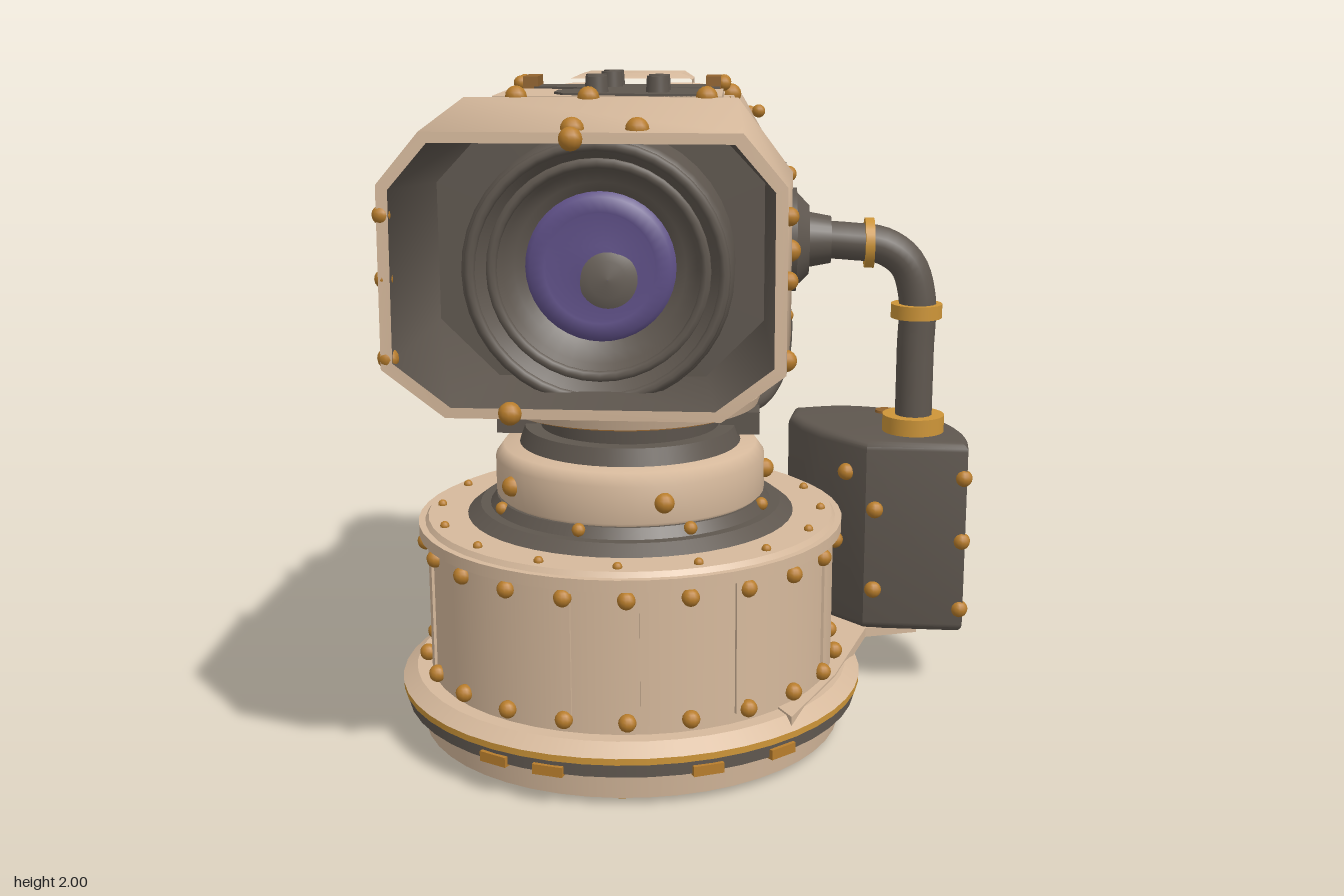
import * as THREE from 'three';
import { toCreasedNormals } from 'three/addons/utils/BufferGeometryUtils.js';

const mat = (name, color) => {
  const m = new THREE.MeshStandardMaterial({ color });
  m.name = name;
  return m;
};

export function createModel() {
  const tan = mat('sandPaint', 0xd6b99c), grey = mat('darkMetal', 0x5f574f), gold = mat('brass', 0xcd9538),
    bronze = mat('boltBronze', 0xb87d2c), brown = mat('rustBrown', 0x93642f), purple = mat('lensPurple', 0x5f5088),
    iris = mat('lensCentre', 0x696159);
  const model = new THREE.Group();
  model.name = 'cameraTurret';
  const CX = -0.18, CZ = -0.03, HX = -0.23; // base axis and head mid-plane

  const add = (name, geo, m, x = 0, y = 0, z = 0, parent = model) => {
    const mesh = new THREE.Mesh(geo, m);
    mesh.name = name;
    mesh.position.set(x, y, z);
    parent.add(mesh);
    return mesh;
  };
  const box = (name, m, x0, x1, y0, y1, z0, z1) =>
    add(name, new THREE.BoxGeometry(x1 - x0, y1 - y0, z1 - z0), m, (x0 + x1) / 2, (y0 + y1) / 2, (z0 + z1) / 2);
  const disc = (name, m, r0, r1, y0, y1, x = CX, z = CZ) =>
    add(name, new THREE.CylinderGeometry(r1, r0, y1 - y0, 48), m, x, (y0 + y1) / 2, z);
  const axleX = (name, m, r0, r1, x0, x1, y, z) =>
    add(name, new THREE.CylinderGeometry(r1, r0, x1 - x0, 28).rotateZ(-Math.PI / 2), m, (x0 + x1) / 2, y, z);
  const tube = (name, m, r, pts) =>
    add(name, new THREE.TubeGeometry(new THREE.CatmullRomCurve3(pts.map(p => new THREE.Vector3(...p)), false, 'centripetal'), 40, r, 14), m);
  const slab = (name, m, pts, y0, y1, bevel = 0) => {
    const shape = new THREE.Shape(pts.map(([x, z]) => new THREE.Vector2(x, -z)));
    const geo = new THREE.ExtrudeGeometry(shape, {
      depth: y1 - y0 - 2 * bevel, bevelEnabled: bevel > 0, bevelSize: bevel, bevelThickness: bevel, bevelOffset: -bevel, bevelSegments: 4
    });
    return add(name, toCreasedNormals(geo.rotateX(-Math.PI / 2), 0.7), m, 0, y0 + bevel, 0);
  };

  // Bolts
  const bolts = new THREE.Group();
  bolts.name = 'bolts';
  model.add(bolts);
  const ball = new THREE.SphereGeometry(1, 12, 8);
  const bolt = (x, y, z, r = 0.026) => add('bolt', ball, bronze, x, y, z, bolts).scale.setScalar(r);
  const boltRing = (n, r, y, size, phase = 0) => {
    for (let i = 0; i < n; i++) {
      const a = (i / n) * Math.PI * 2 + phase;
      bolt(CX + r * Math.cos(a), y, CZ + r * Math.sin(a), size);
    }
  };

  // Base and drum
  disc('basePlate', tan, 0.65, 0.66, 0.02, 0.11);
  disc('grooveTrim', gold, 0.68, 0.68, 0.098, 0.108);
  disc('baseGroove', grey, 0.7, 0.7, 0.106, 0.15);
  disc('flangeTrim', gold, 0.713, 0.713, 0.148, 0.168);
  disc('baseFlange', tan, 0.714, 0.67, 0.168, 0.2);
  disc('drum', tan, 0.625, 0.625, 0.19, 0.63);
  disc('drumRim', tan, 0.65, 0.65, 0.63, 0.665);
  disc('drumRimStep', tan, 0.63, 0.62, 0.665, 0.68);
  disc('turntableSkirt', grey, 0.5, 0.46, 0.68, 0.71);
  disc('turntableSeat', grey, 0.43, 0.41, 0.71, 0.74);
  const collar = [[0.3, 0.73], [0.39, 0.73], [0.41, 0.75], [0.41, 0.86], [0.385, 0.895], [0.28, 0.905]];
  add('neckCollar', new THREE.LatheGeometry(collar.map(p => new THREE.Vector2(...p)), 48), tan, CX, 0, CZ);
  disc('neckLower', grey, 0.34, 0.32, 0.89, 0.95);
  disc('neckUpper', grey, 0.27, 0.28, 0.94, 1.04);
  disc('headPlatformUnderside', brown, 0.37, 0.37, 1.027, 1.035, CX, 0.02);
  disc('headPlatform', tan, 0.39, 0.4, 1.035, 1.065, CX, 0.02);
  disc('headPlatformTop', tan, 0.37, 0.36, 1.065, 1.085, CX, 0.02);
  disc('headMount', tan, 0.3, 0.3, 1.08, 1.22, CX, 0);
  boltRing(22, 0.63, 0.6, 0.026, 0.1);
  boltRing(22, 0.635, 0.24, 0.026, 0.1);
  boltRing(16, 0.585, 0.683, 0.014);
  boltRing(8, 0.42, 0.73, 0.02, 0.3);
  boltRing(5, 0.41, 0.81, 0.03, 1.27);
  boltRing(10, 0.37, 1.09, 0.02);
  for (let i = 0; i < 10; i++) {
    const a = (i / 10) * Math.PI * 2 + 0.3;
    disc('footBolt', bronze, 0.033, 0.033, 0, 0.03, CX + 0.58 * Math.cos(a), CZ + 0.58 * Math.sin(a));
  }
  // Drum ribs and flange clips on the front half
  for (const a of [0.35, 1.0, 1.45, 1.8, 2.75])
    add('drumRib', new THREE.BoxGeometry(0.025, 0.4, 0.025), tan, CX + 0.62 * Math.cos(a), 0.43, CZ + 0.62 * Math.sin(a)).rotation.y = -a;
  for (const a of [0.85, 1.2, 1.85, 2.1])
    add('flangeClip', new THREE.BoxGeometry(0.03, 0.03, 0.09), bronze, CX + 0.695 * Math.cos(a), 0.115, CZ + 0.695 * Math.sin(a)).rotation.y = -a;

  // Side tank with its bracket
  const edge = [[0.88, -0.23], [0.89, -0.35], [0.86, -0.5], [0.78, -0.65], [0.65, -0.74], [0.5, -0.77], [0.34, -0.73]];
  const arc = new THREE.CatmullRomCurve3(edge.map(([x, z]) => new THREE.Vector3(x, 0, z))).getPoints(24).map(p => [p.x, p.z]);
  slab('sideTank', grey, [...arc, [0.32, -0.6], [0.36, -0.5], [0.42, -0.4], [0.56, -0.25]], 0.2, 0.835, 0.028);
  slab('tankBracket', tan, [[0.31, 0.47], [0.45, 0.15], [0.57, -0.25], [0.74, -0.3], [0.74, -0.52], [0.5, -0.7], [0.2, -0.66], [-0.1, -0.3]], 0.175, 0.206);
  disc('bracketLug', brown, 0.05, 0.05, 0.15, 0.176, 0.65, -0.45);
  disc('tankCap', brown, 0.036, 0.033, 0.83, 0.843, 0.65, -0.66);
  for (const [x, z, ys] of [[0.87, -0.24, [0.28, 0.51, 0.72]], [0.875, -0.45, [0.28, 0.72]], [0.79, -0.64, [0.28, 0.72]],
    [0.6, -0.755, [0.28, 0.72]], [0.36, -0.735, [0.28, 0.51, 0.72]], [0.59, -0.25, [0.34, 0.61]], [0.5, -0.31, [0.72]]])
    for (const y of ys) bolt(x, y, z, 0.028);

  // Feed pipe
  const PZ = -0.41;
  disc('pipeFoot', gold, 0.1, 0.1, 0.83, 0.89, 0.72, PZ);
  tube('feedPipe', grey, 0.06, [[0.72, 0.85, PZ], [0.72, 1.1, PZ], [0.72, 1.28, PZ], [0.685, 1.385, PZ], [0.61, 1.44, PZ], [0.5, 1.455, PZ], [0.3, 1.465, PZ]]);
  disc('pipeClamp', gold, 0.082, 0.082, 1.21, 1.255, 0.72, PZ);
  axleX('pipeBand', gold, 0.08, 0.08, 0.548, 0.577, 1.45, PZ);
  axleX('pipeSocket', grey, 0.09, 0.075, 0.36, 0.44, 1.46, PZ);
  axleX('pivotRight', grey, 0.165, 0.165, 0.22, 0.33, 1.46, PZ);
  axleX('pivotRightCone', grey, 0.15, 0.11, 0.33, 0.37, 1.46, PZ);
  axleX('pivotLeftPlate', tan, 0.15, 0.15, -0.68, -0.6, 1.48, -0.46);
  axleX('pivotLeft', grey, 0.12, 0.14, -0.74, -0.55, 1.48, -0.46);
  axleX('pivotLeftCap', grey, 0.07, 0.12, -0.785, -0.74, 1.48, -0.46);

  // Pivot guards and hoses beside the neck
  for (const s of [-1, 1]) {
    const X = d => -0.185 + s * d;
    tube('pivotGuard', brown, 0.032, [[X(0.445), 1.645, -0.42], [X(0.45), 1.65, -0.5], [X(0.45), 1.62, -0.57], [X(0.445), 1.55, -0.6]]);
    tube('neckHose', grey, 0.034, [[X(0.45), 1.32, -0.45], [X(0.475), 1.18, -0.5], [X(0.465), 1.04, -0.5], [X(0.42), 0.96, -0.42], [X(0.34), 0.95, -0.25], [X(0.25), 0.95, -0.1]]);
    box('hoseClip', grey, X(0.34) - 0.06, X(0.34) + 0.06, 0.92, 0.99, -0.1, 0.0);
  }

  // Lofted octagonal shells: z at bottom, z at top, x0, x1, y0, y1, top chamfer, bottom chamfer, skew of z along x
  const ring = ([zb, zt, x0, x1, y0, y1, tx, ty, bx, by, skew = 0]) =>
    [[x0 + bx, y0], [x1 - bx, y0], [x1, y0 + by], [x1, y1 - ty], [x1 - tx, y1], [x0 + tx, y1], [x0, y1 - ty], [x0, y0 + by]]
      .map(([x, y]) => [x, y, zb + (zt - zb) * (y - y0) / (y1 - y0) + skew * (x - x1)]);
  const loft = (name, m, sections, cap) => {
    const rings = sections.map(ring), pos = [];
    for (let k = 0; k + 1 < rings.length; k++)
      for (let i = 0; i < 8; i++) {
        const j = (i + 1) % 8, [a, b, c, d] = [rings[k][i], rings[k][j], rings[k + 1][j], rings[k + 1][i]];
        pos.push(...a, ...c, ...b, ...a, ...d, ...c);
      }
    const last = rings[rings.length - 1];
    if (cap) for (let i = 1; i < 7; i++) pos.push(...last[0], ...last[i + 1], ...last[i]);
    const g = new THREE.BufferGeometry();
    g.setAttribute('position', new THREE.Float32BufferAttribute(pos, 3));
    return add(name, toCreasedNormals(g, 0.95), m);
  };
  const lipOut = [0.92, 0.885, -0.745, 0.27, 1.185, 1.895, 0.11, 0.13, 0.16, 0.12, 0.04];
  const lipIn = [0.92, 0.885, -0.715, 0.24, 1.212, 1.868, 0.1, 0.115, 0.145, 0.11, 0.04];
  const hoodBack = [0.38, 0.35, -0.75, 0.295, 1.1, 1.95, 0.15, 0.2, 0.2, 0.2];
  loft('hood', tan, [lipIn, lipOut, hoodBack]);
  loft('hoodLining', grey, [[0.36, 0.36, -0.24, -0.22, 1.52, 1.54, 0.005, 0.005, 0.005, 0.005],
    [0.36, 0.36, -0.68, 0.22, 1.18, 1.88, 0.15, 0.16, 0.16, 0.16], lipIn]);
  loft('headMiddle', tan, [hoodBack, [0.36, 0.33, -0.74, 0.29, 1.12, 1.94, 0.17, 0.21, 0.22, 0.2],
    [-0.24, -0.24, -0.73, 0.295, 1.14, 1.92, 0.18, 0.26, 0.22, 0.14], [-0.3, -0.3, -0.69, 0.27, 1.17, 1.9, 0.17, 0.24, 0.2, 0.12]], true);
  loft('headRear', tan, [[-0.22, -0.22, -0.63, 0.25, 1.16, 1.92, 0.13, 0.24, 0.1, 0.08], [-0.6, -0.6, -0.62, 0.25, 1.17, 1.91, 0.1, 0.2, 0.08, 0.08],
    [-0.88, -0.86, -0.6, 0.24, 1.19, 1.88, 0.08, 0.14, 0.06, 0.06], [-0.905, -0.91, -0.57, 0.21, 1.22, 1.84, 0.08, 0.13, 0.06, 0.06]], true);
  loft('roofHump', tan, [[-0.22, -0.28, -0.42, 0.06, 1.88, 1.97, 0.05, 0.03, 0.02, 0.02], [-0.3, -0.3, -0.365, 0, 1.88, 1.985, 0.03, 0.02, 0.02, 0.02],
    [-0.6, -0.6, -0.365, 0, 1.88, 1.98, 0.03, 0.02, 0.02, 0.02]], true);
  for (const s of [-1, 1]) {
    box('undersideStrut', brown, CX + s * 0.31 - 0.02, CX + s * 0.31 + 0.02, 1.085, 1.18, -0.32, -0.12);
    box('undersideBracket', brown, CX + s * 0.4 - 0.05, CX + s * 0.4 + 0.05, 1.19, 1.28, -0.33, -0.25);
    box('undersidePin', gold, CX + s * 0.3 - 0.01, CX + s * 0.3 + 0.01, 1.08, 1.25, 0.09, 0.11);
    tube('roofRail', tan, 0.022, [[HX + 0.05 + s * 0.28, 1.91, -0.36], [HX + 0.05 + s * 0.2, 1.93, -0.37], [HX + 0.05 + s * 0.05, 1.93, -0.37]]);
  }

  // Roof plate, dark worn patch and its studs
  box('roofPlate', tan, -0.53, 0.1, 1.9, 1.95, -0.22, 0.3);
  slab('roofPatch', grey, [[-0.5, -0.22], [0.07, -0.22], [0.09, -0.08], [-0.02, -0.06], [-0.06, -0.02], [0.03, 0.02], [0.08, 0.1],
    [0.07, 0.3], [-0.1, 0.3], [-0.34, 0.26], [-0.37, 0.2], [-0.37, 0.08], [-0.29, 0.01], [-0.34, -0.05], [-0.5, -0.09]], 1.949, 1.956);
  for (const [x, z] of [[-0.23, -0.18], [-0.23, -0.09], [-0.26, 0.09], [-0.08, 0.1], [-0.08, 0.2], [-0.25, 0.21]])
    disc('roofStud', grey, 0.034, 0.03, 1.94, 2, x, z);
  for (const x of [-0.47, 0.07]) {
    box('roofBracket', brown, x - 0.022, x + 0.022, 1.94, 1.985, -0.22, -0.08);
    for (const z of [-0.2, -0.1]) bolt(x + Math.sign(x) * 0.03, 1.965, z, 0.022);
  }

  // Lens
  const LY = 1.51;
  const lathe = (name, m, pts, dx = 0, dy = 0) =>
    add(name, new THREE.LatheGeometry(pts.map(p => new THREE.Vector2(...p)), 40).rotateX(Math.PI / 2), m, HX + 0.01 + dx, LY + dy, 0);
  lathe('lensBarrel', grey, [[0.36, 0.36], [0.36, 0.6], [0.345, 0.63], [0.32, 0.63], [0.3, 0.58], [0.27, 0.57], [0.26, 0.53], [0.23, 0.52], [0.2, 0.5]]);
  lathe('lensGlass', purple, [[0.205, 0.5], [0.19, 0.52], [0.15, 0.53], [0.145, 0.515], [0.06, 0.525], [0.0005, 0.525]]);
  lathe('lensIris', iris, [[0.08, 0.522], [0.05, 0.535], [0.0005, 0.54]], 0.02, -0.03);
  for (const [r, z] of [[0.335, 0.63], [0.285, 0.575]])
    add('lensRing', new THREE.TorusGeometry(r, 0.015, 8, 40), grey, HX + 0.01, LY, z);

  // Head bolts: sides (mirrored), roof and lip
  for (const [z, y, x, r] of [[0.85, 1.33, 0.5, 0.028], [0.84, 1.53, 0.505, 0.024], [0.84, 1.69, 0.505, 0.024], [0.32, 1.53, 0.52, 0.032],
    [0.3, 1.74, 0.515, 0.022], [0.33, 1.35, 0.515, 0.018], [-0.23, 1.68, 0.5, 0.024], [-0.72, 1.18, 0.4, 0.026], [-0.8, 1.53, 0.435, 0.032],
    [-0.8, 1.58, 0.435, 0.032], [-0.56, 1.69, 0.43, 0.024], [-0.78, 1.84, 0.39, 0.022], [-0.88, 1.83, 0.36, 0.022], [-0.78, 1.24, 0.42, 0.024], [-0.88, 1.24, 0.4, 0.024]])
    for (const s of [-1, 1]) bolt((z < -0.5 ? -0.18 : HX) + s * x, y, z, r);
  for (const s of [-1, 1]) {
    axleX('rearKnob', grey, 0.038, 0.038, -0.18 + s * 0.44 - 0.045, -0.18 + s * 0.44 + 0.045, 1.63, -0.8);
    bolt(-0.18 + s * 0.3, 1.92, -0.37, 0.032);
  }
  for (const [x, y, z] of [[-0.46, 1.95, 0.33], [-0.26, 1.95, 0.36], [0.06, 1.95, 0.34], [-0.26, 1.9, 0.82], [-0.1, 1.9, 0.82],
    [-0.4, 1.89, -0.84], [0.06, 1.89, -0.84], [-0.26, 1.88, 0.87], [-0.42, 1.2, 0.895]]) bolt(x, y, z, 0.03);
  return model;
}
